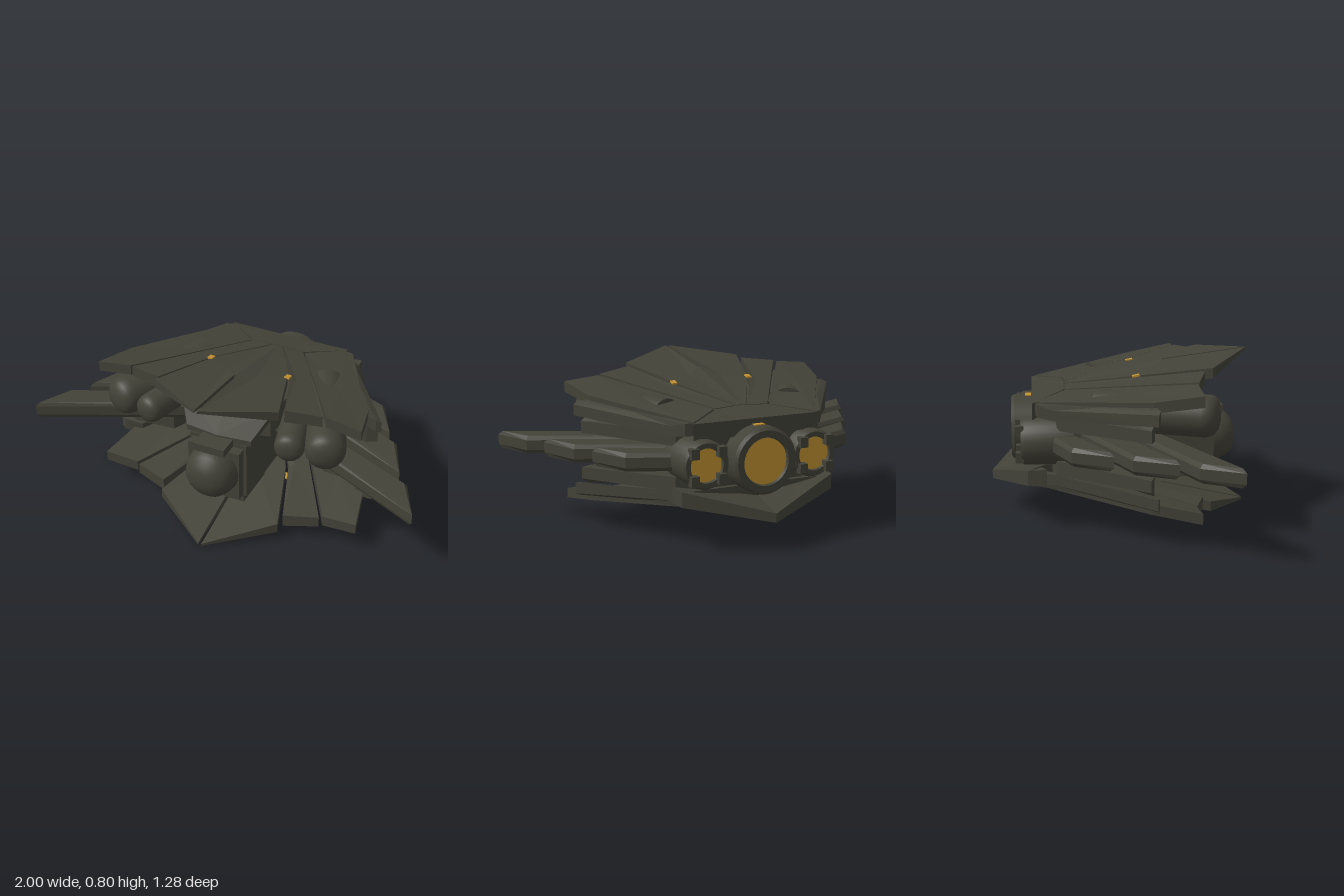
import * as THREE from 'three';
import { toCreasedNormals } from 'three/addons/utils/BufferGeometryUtils.js';

const hull = new THREE.MeshStandardMaterial({ color: 0x434238 });
hull.name = 'dark olive hull';
const glow = new THREE.MeshStandardMaterial({ color: 0xc29232 });
glow.name = 'amber glow';

export function createModel() {
  const root = new THREE.Group();
  const add = (name, geo, mat = hull, x = 0, y = 0, z = 0) => {
    const m = new THREE.Mesh(geo, mat);
    m.name = name;
    m.position.set(x, y, z);
    root.add(m);
    return m;
  };
  const box = (name, w, h, d, x, y, z, mat = hull) =>
    add(name, new THREE.BoxGeometry(w, h, d), mat, x, y, z);

  // Slab: upper outline points [x, y, z, thickness], mirrored in x and about y = 0.4
  function slab(points, sx = 1, sy = 1) {
    const fy = y => 0.4 + (y - 0.4) * sy;
    const top = points.map(([x, y, z]) => new THREE.Vector3(x * sx, fy(y), z));
    const low = points.map(([x, y, z, t]) => new THREE.Vector3(x * sx, fy(y - t), z));
    const mid = ring => ring.reduce((s, p) => s.add(p), new THREE.Vector3()).divideScalar(ring.length);
    const ct = mid(top), cl = mid(low), tris = [];
    top.forEach((a, i) => {
      const j = (i + 1) % top.length;
      tris.push([ct, a, top[j]], [cl, low[j], low[i]], [a, low[i], low[j]], [a, low[j], top[j]]);
    });
    // Turn the faces outward according to the signed volume
    const volume = tris.reduce((s, [a, b, c]) =>
      s + a.clone().sub(ct).dot(b.clone().sub(ct).cross(c.clone().sub(ct))), 0);
    const pts = tris.flatMap(([a, b, c]) => (volume < 0 ? [a, c, b] : [a, b, c]));
    const g = new THREE.BufferGeometry().setFromPoints(pts);
    g.computeVertexNormals();
    return g;
  }

  // Turned part whose axis runs along z
  const turned = (profile, segments = 32) => {
    const g = new THREE.LatheGeometry(profile.map(p => new THREE.Vector2(...p)), segments);
    g.rotateX(Math.PI / 2);
    return toCreasedNormals(g, 0.6);
  };
  const domed = (r, length, d) => turned([[0, -length], [r, -length], [r, -d], [r * 0.96, -d * 0.7],
    [r * 0.86, -d * 0.4], [r * 0.65, -d * 0.16], [r * 0.35, -d * 0.04], [0, 0]]);

  // Armour shells: overlapping panels, the lower shell mirrors the upper
  const panels = {
    centrePanel: [[0.008, 0.8, 0.637, 0.012], [0.32, 0.758, 0.43, 0.05], [0.2, 0.7, 0.06, 0.05],
      [0.025, 0.634, -0.27, 0.05], [0, 0.635, -0.27, 0.05], [0, 0.745, 0.22, 0.05], [0.008, 0.745, 0.22, 0.05]],
    innerPanel: [[0.035, 0.633, -0.27, 0.05], [0.14, 0.628, -0.275, 0.05], [0.5, 0.727, 0.34, 0.055],
      [0.33, 0.745, 0.39, 0.065], [0.215, 0.695, 0.06, 0.05]],
    outerPanel: [[0.15, 0.626, -0.275, 0.05], [0.32, 0.605, -0.42, 0.05], [0.64, 0.665, 0.11, 0.05],
      [0.69, 0.703, 0.34, 0.053], [0.515, 0.722, 0.33, 0.055]],
    rearPanel: [[0, 0.634, -0.275, 0.1], [0.14, 0.626, -0.28, 0.1], [0.33, 0.6, -0.435, 0.08], [0, 0.6, -0.435, 0.08]],
    upperSidePanel: [[0.25, 0.6, -0.43, 0.06], [0.36, 0.6, -0.41, 0.06], [0.4, 0.58, -0.34, 0.05],
      [0.715, 0.625, 0.13, 0.055], [0.69, 0.638, 0.14, 0.065], [0.6, 0.65, 0.12, 0.06]],
    lowerSidePanel: [[0.22, 0.56, -0.34, 0.08], [0.37, 0.545, -0.32, 0.07], [0.69, 0.545, 0.1, 0.058],
      [0.64, 0.575, 0.12, 0.09], [0.42, 0.58, 0.1, 0.1]],
  };
  for (const sy of [1, -1]) for (const sx of [1, -1]) {
    for (const [name, pts] of Object.entries(panels)) add(name, slab(pts, sx, sy));
    const lamp = box('panelLamp', 0.026, 0.009, 0.036, 0.207 * sx, 0.4 + 0.303 * sy, 0.07, glow);
    lamp.rotation.x = -0.2 * sy;
  }

  // Three swept blades on each side
  const blades = [
    [[0.15, 0.09], [1, 0.48], [0.91, 0.29], [0.15, -0.04]],
    [[0.15, -0.11], [0.845, 0.21], [0.76, 0.01], [0.15, -0.25]],
    [[0.2, -0.3], [0.695, -0.07], [0.6, -0.26], [0.2, -0.42]],
  ];
  for (const s of [1, -1]) for (const b of blades) {
    const shape = new THREE.Shape(b.map(([x, z]) => new THREE.Vector2(x * s, z)));
    const g = new THREE.ExtrudeGeometry(shape, { depth: 0.05, bevelThickness: 0.02, bevelSize: 0.016,
      bevelOffset: -0.016, bevelSegments: 1 });
    g.rotateX(Math.PI / 2);
    add('blade', g, hull, 0, 0.43, 0);
  }

  // Core body with neck, chin, collar and hood
  box('body', 0.3, 0.3, 0.82, 0, 0.35, 0.01);
  box('rearHull', 0.52, 0.24, 0.3, 0, 0.4, -0.26);
  box('neck', 0.27, 0.27, 0.08, 0, 0.345, 0.43);
  box('chin', 0.28, 0.05, 0.24, 0, 0.195, 0.31);
  box('collar', 0.16, 0.04, 0.12, 0, 0.5, 0.46);
  for (const s of [1, -1]) {
    add('hood', slab([[0, 0.66, 0.35, 0.15], [0.24, 0.655, 0.33, 0.03], [0.24, 0.62, -0.2, 0.06], [0, 0.62, -0.2, 0.1]], s));
    add('hoodCheek', slab([[0, 0.655, 0.35, 0.135], [0.235, 0.65, 0.33, 0.03], [0.17, 0.53, 0.41, 0.03],
      [0, 0.53, 0.43, 0.04]], s));
    add('hoodSide', slab([[0, 0.63, 0.33, 0.15], [0.23, 0.63, 0.32, 0.11], [0.22, 0.6, -0.2, 0.1], [0, 0.6, -0.2, 0.15]], s));
  }
  add('headDome', domed(0.132, 0.2, 0.12), hull, 0, 0.355, 0.59);

  // Paired forward pods angled outward
  for (const s of [1, -1]) {
    add('outerPod', domed(0.096, 0.6, 0.07), hull, 0.555 * s, 0.57, 0.43).rotation.y = 0.38 * s;
    add('innerPod', domed(0.072, 0.5, 0.05), hull, 0.38 * s, 0.566, 0.46).rotation.y = 0.25 * s;
  }

  // Engines with recessed glowing discs
  for (const [x, r, z] of [[0, 0.163, -0.538], [0.285, 0.117, -0.492], [-0.285, 0.117, -0.492]]) {
    add('engine', turned([[r * 0.68, 0.02], [r * 0.72, 0], [r * 0.92, 0], [r, 0.015], [r, 0.25], [0, 0.25]]),
      hull, x, 0.41, z);
    add('engineGlow', new THREE.CircleGeometry(r * 0.7, 32), glow, x, 0.41, z + 0.015).rotation.y = Math.PI;
    if (x) for (const dx of [-0.07, 0.07]) for (const dy of [-0.065, 0.065])
      box('engineClamp', 0.04, 0.05, 0.04, x + dx, 0.41 + dy, z - 0.005);
  }
  box('engineLamp', 0.05, 0.008, 0.03, 0, 0.572, -0.455, glow);

  // Pointed tail bar under the engines
  for (const s of [1, -1])
    add('tail', slab([[0, 0.185, -0.64, 0.045], [0.4, 0.29, -0.46, 0.075], [0.41, 0.295, -0.37, 0.08],
      [0, 0.225, -0.45, 0.085]], s));

  return root;
}
